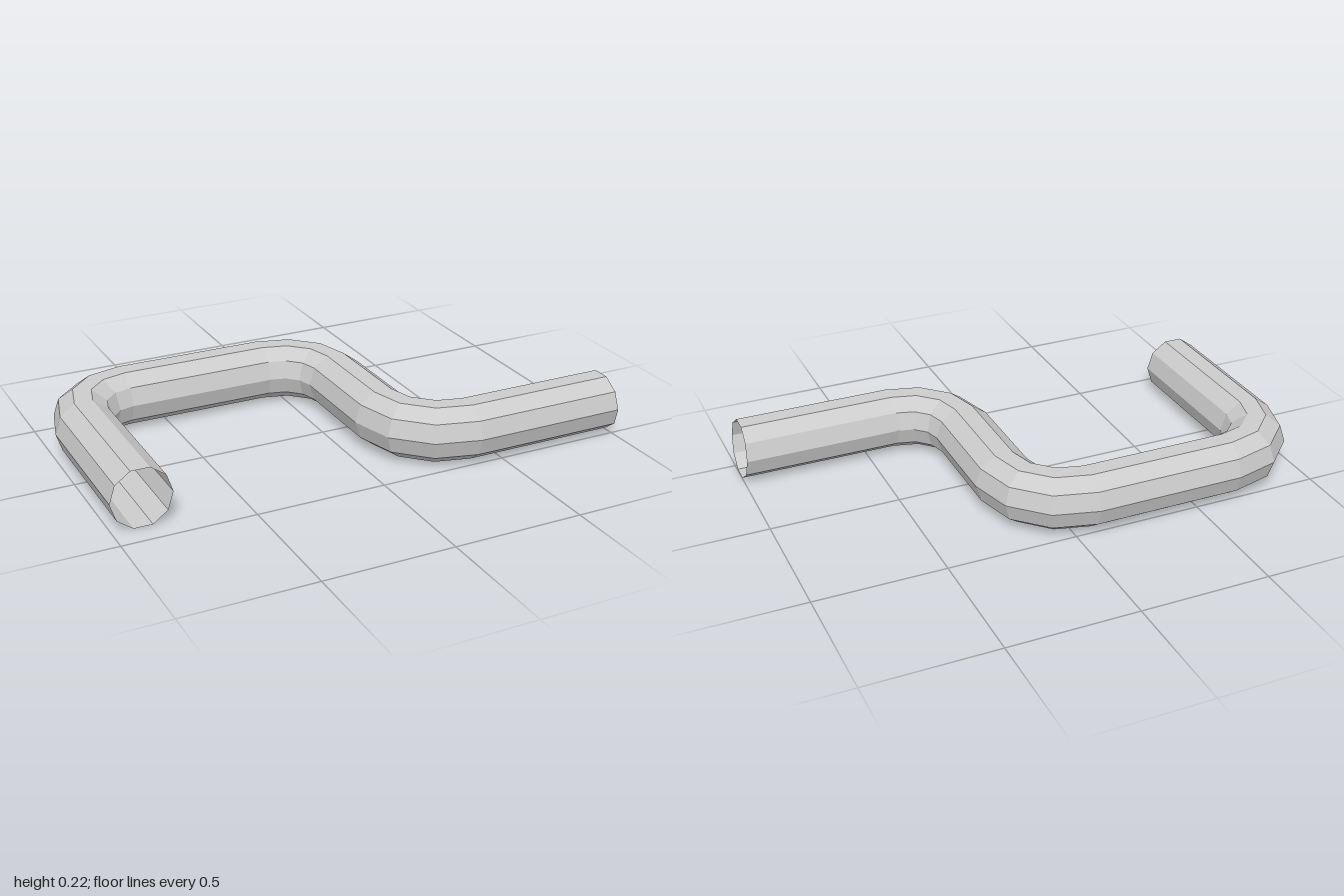
import * as THREE from 'three';

const SIDES = 10, RADIUS = 0.115, BEND = 0.23, STEPS = 3;

// Stations along the centre line: position, heading (0 = -z, PI/2 = +x), end-cut slope
function pipeStations() {
  const stations = [{ x: -0.885, y: 0.11, z: 0.405, heading: 0, slope: 0 }];

  // Quarter bend about (cx, cz); turn is +1 to the right, -1 to the left
  const bend = (cx, cz, startHeading, turn) => {
    for (let i = 0; i <= STEPS; i++) {
      const h = startHeading + turn * (i / STEPS) * Math.PI / 2;
      stations.push({
        x: cx - turn * BEND * Math.cos(h),
        y: 0.115,
        z: cz - turn * BEND * Math.sin(h),
        heading: h,
        slope: 0,
      });
    }
  };
  bend(-0.655, -0.2, 0, 1);
  bend(-0.075, -0.2, Math.PI / 2, 1);
  bend(0.385, 0.195, Math.PI, -1);

  // The far end is cut very slightly off square
  stations.push({ x: 0.993, y: 0.115, z: 0.425, heading: Math.PI / 2, slope: -0.065 });
  return stations;
}

// Ten-sided open skin joining one ring per station
function pipeGeometry(stations) {
  const positions = [], index = [];
  stations.forEach((s, i) => {
    const tx = Math.sin(s.heading), tz = -Math.cos(s.heading);
    for (let k = 0; k < SIDES; k++) {
      const a = k / SIDES * Math.PI * 2;
      const side = RADIUS * Math.cos(a), up = RADIUS * Math.sin(a);
      positions.push(
        s.x + tz * side + tx * up * s.slope,
        s.y + up,
        s.z - tx * side + tz * up * s.slope,
      );
      if (i === stations.length - 1) continue;
      const p = i * SIDES + k, q = i * SIDES + (k + 1) % SIDES;
      index.push(p, q, p + SIDES, q, q + SIDES, p + SIDES);
    }
  });
  const geometry = new THREE.BufferGeometry();
  geometry.setAttribute('position', new THREE.Float32BufferAttribute(positions, 3));
  geometry.setIndex(index);
  geometry.computeVertexNormals();
  return geometry;
}

export function createModel() {
  const model = new THREE.Group();
  model.name = 'bentPipe';

  const material = new THREE.MeshStandardMaterial({
    color: 0xcccccc, flatShading: true, side: THREE.DoubleSide,
  });
  const pipe = new THREE.Mesh(pipeGeometry(pipeStations()), material);
  pipe.name = 'pipe';
  model.add(pipe);
  return model;
}
